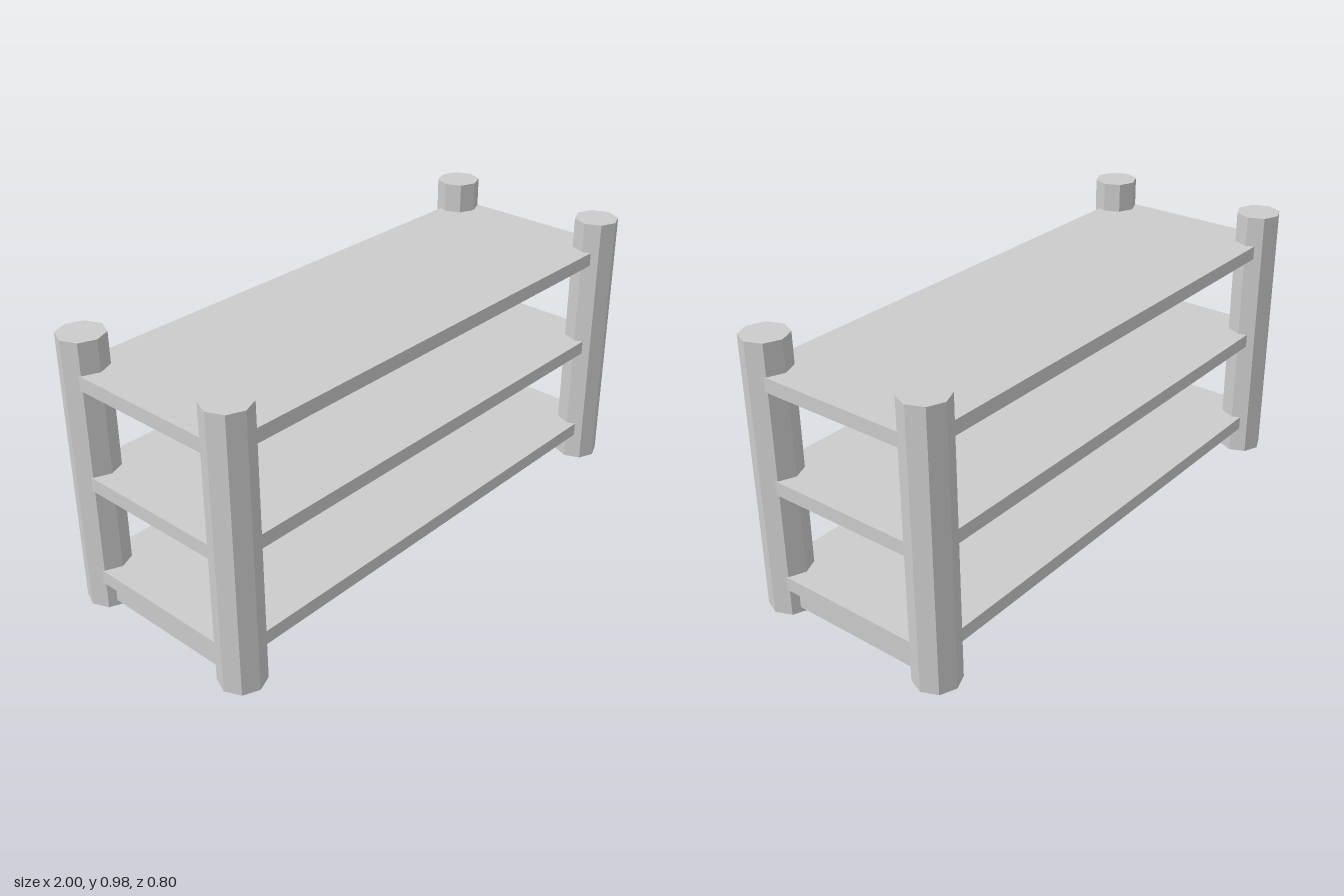
import * as THREE from 'three';

export function createModel() {
  const model = new THREE.Group();
  model.name = 'shelfUnit';
  const material = new THREE.MeshStandardMaterial({ color: 0xcccccc, flatShading: true });

  function add(name, geometry, x, y, z) {
    const mesh = new THREE.Mesh(geometry, material);
    mesh.name = name;
    mesh.position.set(x, y, z);
    model.add(mesh);
  }

  // Octagonal corner posts, one corner of the octagon on each axis
  const post = new THREE.CylinderGeometry(0.08, 0.08, 0.98, 8);
  for (const [sideName, x] of [['Left', 0.92], ['Right', -0.92]]) {
    for (const [endName, z] of [['front', 0.32], ['back', -0.32]]) {
      add(`${endName}${sideName}Post`, post, x, 0.49, z);
    }
  }

  // Three flat shelves running into the posts
  const shelf = new THREE.BoxGeometry(1.96, 0.05, 0.7);
  ['bottomShelf', 'middleShelf', 'topShelf'].forEach((name, i) => {
    add(name, shelf, 0, 0.125 + i * 0.36, 0);
  });

  // End rails under the bottom shelf
  const rail = new THREE.BoxGeometry(0.06, 0.08, 0.5);
  add('leftRail', rail, 0.92, 0.062, 0);
  add('rightRail', rail, -0.92, 0.062, 0);

  return model;
}
